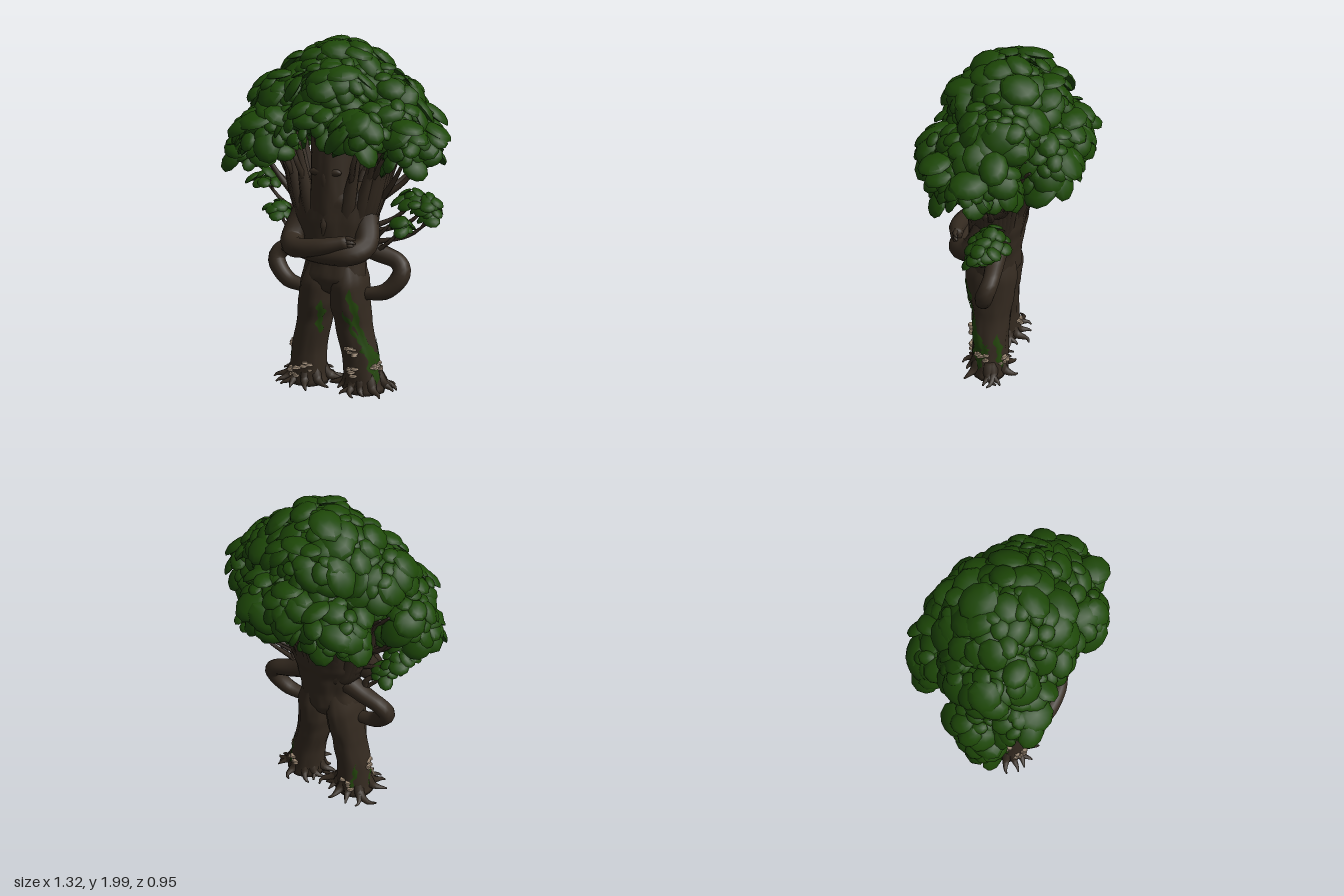
import * as THREE from 'three';
import { mergeGeometries, toCreasedNormals } from 'three/addons/utils/BufferGeometryUtils.js';

const V = (x, y, z) => new THREE.Vector3(x, y, z);
let seed = 7;
const rand = () => ((seed = (seed * 16807) % 2147483647) / 2147483647);
const jitter = (s) => (rand() - 0.5) * 2 * s;

// Closed skin over a list of rings of points, capped at both ends
function skin(rings) {
  const n = rings[0].length, pos = [], idx = [];
  rings.forEach((r) => r.forEach((p) => pos.push(p.x, p.y, p.z)));
  for (let i = 0; i < rings.length - 1; i++)
    for (let j = 0; j < n; j++) {
      const a = i * n + j, b = i * n + ((j + 1) % n);
      idx.push(a, a + n, b, b, a + n, b + n);
    }
  [0, rings.length - 1].forEach((i, end) => {
    const c = rings[i].reduce((s, p) => s.add(p), V(0, 0, 0)).divideScalar(n);
    const k = pos.push(c.x, c.y, c.z) / 3 - 1;
    for (let j = 0; j < n; j++) {
      const a = i * n + j, b = i * n + ((j + 1) % n);
      end ? idx.push(k, b, a) : idx.push(k, a, b);
    }
  });
  const g = new THREE.BufferGeometry();
  g.setAttribute('position', new THREE.Float32BufferAttribute(pos, 3));
  g.setIndex(idx);
  g.computeVertexNormals();
  return g;
}

// Tapered limb along a smooth path; radii are spread evenly over its length
function limb(points, radii, steps = 10, sides = 7) {
  const curve = new THREE.CatmullRomCurve3(points.map((p) => V(...p)));
  const { normals, binormals } = curve.computeFrenetFrames(steps, false);
  const rings = [];
  for (let i = 0; i <= steps; i++) {
    const t = (i / steps) * (radii.length - 1), k = Math.min(Math.floor(t), radii.length - 2);
    const r = THREE.MathUtils.lerp(radii[k], radii[k + 1], t - k), c = curve.getPointAt(i / steps);
    rings.push(Array.from({ length: sides }, (_, j) => {
      const a = (j / sides) * Math.PI * 2;
      return c.clone().addScaledVector(normals[i], Math.cos(a) * r).addScaledVector(binormals[i], -Math.sin(a) * r);
    }));
  }
  return skin(rings);
}

// Oval section [y, cx, rx, cz, rz] interpolated at a height, with bark ridges
function barkPoint(profile, y, a, grow = 1) {
  let i = 0;
  while (i < profile.length - 2 && y > profile[i + 1][0]) i++;
  const p = profile[i], q = profile[i + 1];
  const t = (y - p[0]) / (q[0] - p[0]), e = t * t * (3 - 2 * t);
  const [cx, rx, cz, rz] = [1, 2, 3, 4].map((k) => THREE.MathUtils.lerp(p[k], q[k], (t + e) / 2));
  const k = grow * (1 + 0.025 * Math.sin(7 * a + 9 * y) + 0.018 * Math.sin(12 * a - 16 * y));
  return V(cx + Math.cos(a) * rx * k, y, cz + Math.sin(a) * rz * k);
}
function barkColumn(profile, steps, sides = 36) {
  const y0 = profile[0][0], y1 = profile[profile.length - 1][0];
  return skin(Array.from({ length: steps + 1 }, (_, i) =>
    Array.from({ length: sides }, (_, j) => barkPoint(profile, y0 + ((y1 - y0) * i) / steps, (j / sides) * Math.PI * 2))));
}

const TORSO = [[0.55, 0.015, 0.02, 0.085, 0.04], [0.61, 0.015, 0.13, 0.085, 0.125], [0.68, 0.02, 0.185, 0.085, 0.155],
  [0.78, 0.03, 0.17, 0.075, 0.15], [0.9, 0.03, 0.195, 0.07, 0.16], [1.0, 0.02, 0.24, 0.06, 0.17],
  [1.12, 0.02, 0.255, 0.045, 0.175], [1.18, 0.02, 0.22, 0.035, 0.16]];
const HEAD = [[0.88, 0.02, 0.16, 0.09, 0.12], [1.05, 0.018, 0.145, 0.1, 0.13], [1.25, 0.015, 0.12, 0.1, 0.13], [1.6, 0.015, 0.12, 0.08, 0.13]];
const LEGS = {
  right: [[0, -0.15, 0.125, 0.08, 0.115], [0.06, -0.15, 0.11, 0.08, 0.11], [0.2, -0.142, 0.102, 0.08, 0.108],
    [0.4, -0.107, 0.1, 0.08, 0.118], [0.52, -0.085, 0.108, 0.085, 0.142], [0.64, -0.07, 0.105, 0.085, 0.152], [0.8, -0.04, 0.08, 0.075, 0.12]],
  left: [[0, 0.2, 0.125, 0.08, 0.115], [0.06, 0.195, 0.11, 0.08, 0.11], [0.2, 0.178, 0.104, 0.08, 0.108],
    [0.4, 0.132, 0.104, 0.08, 0.118], [0.52, 0.115, 0.11, 0.085, 0.142], [0.64, 0.11, 0.105, 0.085, 0.152], [0.8, 0.09, 0.08, 0.075, 0.12]],
};

// Low dome with an angular rim, used for every leaf
function makeLeaf() {
  const profile = [[0, -0.12], [0.6, -0.12], [1, 0], [0.88, 0.2], [0.55, 0.36], [0, 0.43]];
  const g = new THREE.LatheGeometry(profile.map(([x, y]) => new THREE.Vector2(x, y)), 10);
  const p = g.attributes.position;
  for (let i = 0; i < p.count; i++) {
    const a = Math.atan2(p.getZ(i), p.getX(i)), k = 1 + 0.08 * Math.sin(a * 2 + 1) + 0.06 * Math.cos(a * 5);
    p.setX(i, p.getX(i) * k);
    p.setZ(i, p.getZ(i) * k);
  }
  return toCreasedNormals(g, 0.75);
}
const LEAF = makeLeaf();
function placeLeaf(pos, dir, r) {
  const q = new THREE.Quaternion().setFromUnitVectors(V(0, 1, 0), dir.clone().normalize());
  q.multiply(new THREE.Quaternion().setFromAxisAngle(V(0, 1, 0), rand() * 6.28));
  return LEAF.clone().applyMatrix4(new THREE.Matrix4().compose(pos, q, V(r, r, r * (0.8 + rand() * 0.35))));
}

// Crown lobes: centre, then radii
const LOBES = [[0, 1.71, -0.02, 0.3, 0.24, 0.23], [-0.43, 1.43, 0.05, 0.15, 0.15, 0.13], [-0.32, 1.47, 0.19, 0.19, 0.15, 0.13],
  [0.44, 1.48, 0.03, 0.14, 0.15, 0.15], [0.46, 1.44, 0.19, 0.1, 0.13, 0.13], [0.25, 1.51, 0.27, 0.14, 0.12, 0.14],
  [0, 1.55, 0.2, 0.28, 0.12, 0.15], [-0.17, 1.47, -0.27, 0.2, 0.16, 0.15], [0.17, 1.47, -0.22, 0.16, 0.17, 0.15], [0.02, 1.52, -0.3, 0.14, 0.14, 0.12],
  [-0.26, 1.65, 0.02, 0.18, 0.15, 0.22], [0.25, 1.68, -0.02, 0.2, 0.14, 0.19], [0, 1.71, -0.2, 0.22, 0.14, 0.1], [0.32, 1.58, 0.1, 0.18, 0.1, 0.18],
  [0.04, 1.71, 0.17, 0.22, 0.13, 0.12], [-0.53, 1.33, 0.1, 0.07, 0.07, 0.08], [0.56, 1.42, 0.1, 0.05, 0.09, 0.09]];
// Low leaf tufts: centre and spread
const TUFTS = [[-0.43, 1.17, 0.03, 0.09], [-0.34, 1.0, 0.06, 0.07], [0.46, 1.13, 0, 0.1], [0.41, 0.98, 0.07, 0.045], [0.54, 1.1, 0.02, 0.07], [0.57, 1.04, 0.05, 0.04]];

export function createModel() {
  const group = new THREE.Group();
  const material = (name, color) => Object.assign(new THREE.MeshStandardMaterial({ color }), { name });
  const bark = material('bark', 0x342a20), leafGreen = material('leaf green', 0x1d4707);
  const mossGreen = material('moss green', 0x23450c), fungusTan = material('fungus tan', 0x9c8974);
  mossGreen.side = THREE.DoubleSide;
  const add = (name, geos, mat) => {
    const mesh = new THREE.Mesh(Array.isArray(geos) ? mergeGeometries(geos) : geos, mat);
    mesh.name = name;
    group.add(mesh);
  };
  const blob = (x, y, z, rx, ry, rz) => new THREE.SphereGeometry(1, 14, 10).scale(rx, ry, rz).translate(x, y, z);

  // Trunk, head, and a subtle brow, nose and beard
  add('torso', barkColumn(TORSO, 40, 44), bark);
  add('head', barkColumn(HEAD, 24), bark);
  add('face', [blob(-0.03, 1.28, 0.205, 0.05, 0.022, 0.019), blob(0.06, 1.28, 0.205, 0.05, 0.022, 0.019), blob(0.015, 1.23, 0.215, 0.025, 0.055, 0.017)], bark);
  add('beard', limb([[0.015, 1.04, 0.21], [0.015, 0.99, 0.228], [0.01, 0.93, 0.232]], [0.018, 0.02, 0.006]), bark);

  // Legs with spreading, forked roots
  for (const [side, profile] of Object.entries(LEGS)) {
    add(side + 'Leg', barkColumn(profile, 34, 32), bark);
    const cx = profile[0][1], roots = [];
    for (let i = 0; i < 10; i++) {
      const a = (i / 10) * 6.283 + jitter(0.25), len = 0.14 + rand() * 0.08;
      const at = (r, y, t) => [cx + Math.cos(t) * r, y, 0.08 + Math.sin(t) * r * 0.88];
      for (const fork of i % 3 ? [-0.12] : [-0.3, 0.25])
        roots.push(limb([at(0.07, 0.1, a), at(0.12, 0.036, a), at(len, 0.02, a + fork * 0.6), at(len + 0.015, 0.01, a + fork + jitter(0.15))], [0.038, 0.033, 0.018, 0.005], 8, 6));
    }
    add(side + 'Roots', roots, bark);
  }

  // Folded upper arms, and lower arms resting on the hips
  const arms = {
    upperLeftArm: [[0.16, 1.1, 0.06], [0.21, 0.98, 0.1], [0.235, 0.88, 0.17], [0.18, 0.845, 0.25], [0, 0.835, 0.27], [-0.2, 0.855, 0.24]],
    upperRightArm: [[-0.12, 1.1, 0.06], [-0.175, 0.98, 0.1], [-0.2, 0.88, 0.18], [-0.14, 0.86, 0.27], [0.02, 0.885, 0.3], [0.17, 0.92, 0.27]],
    lowerLeftArm: [[0.12, 0.87, 0.04], [0.26, 0.81, 0.03], [0.38, 0.765, 0.03], [0.408, 0.71, 0.05], [0.33, 0.605, 0.08], [0.2, 0.575, 0.09]],
    lowerRightArm: [[-0.08, 0.87, 0.04], [-0.22, 0.81, 0.03], [-0.335, 0.765, 0.03], [-0.363, 0.71, 0.05], [-0.28, 0.605, 0.08], [-0.16, 0.575, 0.09]],
  };
  for (const [name, path] of Object.entries(arms)) {
    const low = name.startsWith('lower');
    const parts = [limb(path, low ? [0.07, 0.056, 0.048, 0.052, 0.046, 0.035] : [0.09, 0.075, 0.064, 0.056, 0.048, 0.034], 26, 12)];
    const [x, y, z] = path[5], s = Math.sign(x - path[4][0]);
    for (let f = -1; f <= 1; f++)
      parts.push(limb([[x - s * 0.02, y + f * 0.016, z + 0.005], [x + s * 0.02, y + f * 0.02, z + 0.002], [x + s * 0.04, y + f * 0.022 - 0.01, z - 0.015]], [0.016, 0.014, 0.006], 6, 6));
    add(name, parts, bark);
  }

  // Boughs fanning from the shoulders into the crown, open beside the head
  const boughs = [];
  for (let i = 0; i < 48; i++) {
    const a = (i / 48) * Math.PI * 2, c = Math.cos(a), s = Math.sin(a), w = Math.abs(c);
    if ((w > 0.6 && w < 0.77) || (s > 0 && w < 0.4)) continue;
    const deep = s > 0 ? 0.14 : 0.33, j = jitter(0.015);
    boughs.push(limb([[0.02 + c * 0.15, 0.9, 0.06 + s * 0.09], [0.02 + c * 0.235, 1.1, 0.05 + s * 0.14],
      [0.02 + c * 0.3 + j, 1.3, 0.04 + s * (s > 0 ? 0.155 : 0.23)], [0.02 + c * 0.4 + j, 1.54, 0.04 + s * deep]], [0.05, 0.043, 0.024, 0.014], 11, 7));
    boughs.push(limb([[0.02 + c * 0.28, 1.23, 0.04 + s * 0.17], [0.02 + c * 0.34 + j, 1.36, 0.04 + s * 0.22 + j], [0.02 + c * 0.48, 1.5, 0.04 + s * deep * 1.15]], [0.018, 0.015, 0.008], 6, 5));
  }
  add('boughs', boughs, bark);
  const twigs = [];
  for (const [x, y, z, r] of TUFTS) {
    const k = Math.sign(x);
    for (const d of [-0.6, 0, 0.6])
      twigs.push(limb([[k * 0.22 + 0.02, y - 0.17, 0.04], [x * 0.75, y - 0.12, z], [x * 0.9, y - 0.06, z], [x + d * r, y + 0.01, z + d * r]], [0.018, 0.012, 0.009, 0.005], 9, 5));
  }
  // Bare side shoots curving up into the crown
  for (const [k, dx] of [[-1, 0], [1, 0.03]])
    for (const [y0, x1, y1, z1] of [[1.08, 0.42, 1.4, 0.1], [1.1, 0.5, 1.42, 0.02], [1.12, 0.47, 1.42, -0.08], [0.85, 0.3, 0.98, 0.06]])
      twigs.push(limb([[k * 0.22 + dx, y0, 0.05], [k * (x1 * 0.76) + dx, y0 + (y1 - y0) * 0.4, z1 * 0.8], [k * x1 * 0.9 + dx, y0 + (y1 - y0) * 0.72, z1], [k * x1 + dx, y1, z1]], [0.024, 0.018, 0.012, 0.007], 9, 6));
  add('twigs', twigs, bark);

  // Crown of overlapping leaves over a solid core
  const leaves = [], cores = [];
  LOBES.forEach(([x, y, z, rx, ry, rz], n) => {
    cores.push(blob(x, y + ry * 0.1, z, rx * 0.84, ry * 0.7, rz * 0.84));
    const count = Math.round(Math.pow(rx * ry * rz, 2 / 3) * 1700) + 8;
    for (let i = 0; i < count; i++) {
      const ny = 1 - (1.7 * (i + 0.5)) / count, h = Math.sqrt(1 - ny * ny), a = i * 2.39996 + n;
      const d = V(Math.cos(a) * h, ny, Math.sin(a) * h);
      const p = V(x + d.x * rx, y + d.y * ry, z + d.z * rz);
      const hidden = LOBES.some((l, m) => m !== n && ((p.x - l[0]) / l[3]) ** 2 + ((p.y - l[1]) / l[4]) ** 2 + ((p.z - l[2]) / l[5]) ** 2 < 0.7);
      if (hidden) continue;
      const tilt = V(d.x + jitter(0.35), Math.max(d.y, 0) + 0.6, d.z + jitter(0.35));
      leaves.push(placeLeaf(p.addScaledVector(d, jitter(0.025)), tilt, 0.038 + rand() ** 1.5 * 0.062));
    }
  });
  add('crownCore', cores, leafGreen);
  add('crownLeaves', leaves, leafGreen);
  const tufts = [];
  for (const [x, y, z, r] of TUFTS)
    for (let i = 0; i < 12; i++) {
      const a = i * 2.4, d = r * Math.sqrt((i + 0.5) / 12);
      tufts.push(placeLeaf(V(x + Math.cos(a) * d, y + 0.03 - d * 0.5 + jitter(0.025), z + Math.sin(a) * d), V(Math.cos(a) * 0.7, 1, Math.sin(a) * 0.7), 0.033 + rand() * 0.022));
    }
  add('leafTufts', tufts, leafGreen);

  // Ragged moss sheets hugging the legs: leg, top and bottom angle, top and bottom height, half width
  const moss = [];
  for (const [side, a0, a1, y0, y1, w] of [['left', 1.1, 0.8, 0.63, 0.34, 0.17], ['left', 0.85, 0.4, 0.38, 0.08, 0.26], ['left', 1.0, 0.0, 0.28, 0.2, 0.24],
    ['left', 0.0, 0.5, 0.24, 0.06, 0.2], ['left', 1.5, 1.1, 0.5, 0.34, 0.1], ['left', -0.5, -0.9, 0.3, 0.08, 0.16],
    ['right', 0.95, 0.75, 0.54, 0.34, 0.18], ['right', 4.0, 4.4, 0.26, 0.06, 0.15], ['right', 2.9, 3.2, 0.24, 0.05, 0.12]]) {
    const g = new THREE.PlaneGeometry(1, 1, 5, 16), p = g.attributes.position;
    for (let i = 0; i < p.count; i++) {
      const t = 0.5 - p.getY(i), wide = w * Math.sqrt(Math.sin(Math.PI * (0.04 + t * 0.92))) * (1 + 0.35 * Math.sin(t * 23 + a0 * 5));
      const a = a0 + (a1 - a0) * t + 0.08 * Math.sin(t * 11) - p.getX(i) * 2 * wide;
      p.setXYZ(i, ...barkPoint(LEGS[side], y0 + (y1 - y0) * t + p.getX(i) * 0.02, a, 1.035).toArray());
    }
    g.computeVertexNormals();
    moss.push(g);
  }
  add('moss', moss, mossGreen);

  // Shelf fungi: leg, angle, height, count
  const fungi = [];
  for (const [side, a, y, n] of [['right', 2.1, 0.085, 12], ['right', 3.0, 0.22, 6], ['left', 1.65, 0.265, 9], ['left', 1.9, 0.14, 5], ['left', 0.3, 0.15, 9], ['right', 4.6, 0.1, 5], ['left', -1.0, 0.13, 6], ['right', 1.2, 0.12, 4]])
    for (let i = 0; i < n; i++) {
      const p = barkPoint(LEGS[side], y + jitter(0.03), a + jitter(0.35), 1.02), r = 0.013 + rand() * 0.012;
      fungi.push(new THREE.CylinderGeometry(r * 0.8, r, 0.009, 8).translate(p.x, p.y, p.z));
    }
  add('shelfFungi', fungi, fungusTan);
  return group;
}
